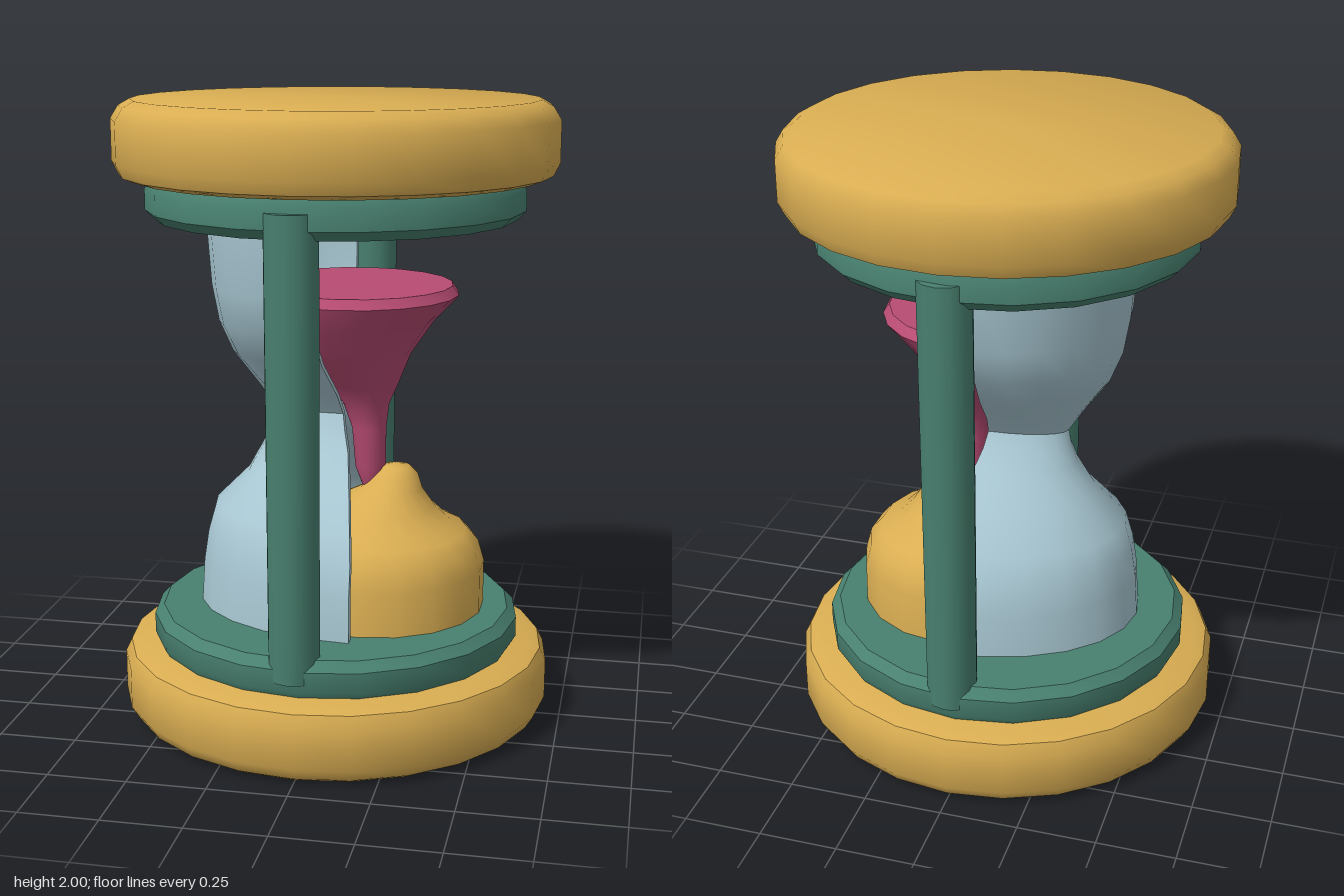
import * as THREE from 'three';
import { toCreasedNormals } from 'three/addons/utils/BufferGeometryUtils.js';

const mat = (name, color, side = THREE.FrontSide) =>
  Object.assign(new THREE.MeshStandardMaterial({ color, side }), { name });

// Skin a stack of closed cross-sections: sections[i] = { y, pts: [[x, z], ...] }
function loft(sections) {
  const n = sections[0].pts.length, pos = [], idx = [];
  for (const s of sections) for (const [x, z] of s.pts) pos.push(x, s.y, z);
  for (let i = 0; i < sections.length - 1; i++) {
    for (let j = 0; j < n; j++) {
      const a = i * n + j, b = i * n + (j + 1) % n;
      idx.push(a, b, a + n, b, b + n, a + n);
    }
  }
  const g = new THREE.BufferGeometry();
  g.setAttribute('position', new THREE.Float32BufferAttribute(pos, 3));
  g.setIndex(idx);
  return toCreasedNormals(g, 0.7);
}

// Points of an elliptical arc, running from +z towards +x
function arc(cx, rx, rz, t0, t1, n, closed) {
  return Array.from({ length: n }, (_, i) => {
    const t = t0 + (t1 - t0) * i / (closed ? n : n - 1);
    return [cx + rx * Math.sin(t), rz * Math.cos(t)];
  });
}

// Round body whose centre may drift in x: rows of [y, centreX, radius]
const drifting = (rows, n) => loft(rows.map(([y, cx, r]) =>
  ({ y, pts: arc(cx, r, r, 0, Math.PI * 2, n, true) })));

export function createModel() {
  const model = new THREE.Group();
  model.name = 'hourglass';
  const gold = mat('gold', 0xd9ad52);
  const green = mat('green', 0x48806f);
  const pink = mat('pink', 0xb84c73);
  const glass = mat('paleBlueGlass', 0xa9c8d3, THREE.DoubleSide);
  const add = (name, geometry, material) => {
    const m = new THREE.Mesh(geometry, material);
    m.name = name;
    model.add(m);
    return m;
  };

  // End discs with rounded rims, and the stepped rings inside them
  const disc = [[0, 0, 0], [0, 0, 0.64], [0.02, 0, 0.675], [0.06, 0, 0.7], [0.19, 0, 0.7],
    [0.23, 0, 0.68], [0.245, 0, 0.64], [0.245, 0, 0]];
  const ring = [[0, 0, 0], [0, 0, 0.585], [0.025, 0, 0.6], [0.09, 0, 0.6], [0.12, 0, 0.57], [0.12, 0, 0]];
  const flip = (rows, top) => rows.map(([y, c, r]) => [top - y, c, r]).reverse();
  add('bottomDisc', drifting(disc, 24), gold);
  add('topDisc', drifting(flip(disc, 2), 24), gold);
  const raise = (rows, h) => rows.map(([y, c, r]) => [y + h, c, r]);
  add('bottomRing', drifting(raise(ring, 0.24), 20), green);
  add('topRing', drifting(flip(ring, 1.75), 20), green);

  // Front and back posts
  for (const s of [1, -1]) {
    const post = add(s > 0 ? 'frontPost' : 'backPost',
      toCreasedNormals(new THREE.CylinderGeometry(0.083, 0.08, 1.42, 12), 0.7), green);
    post.position.set(-0.025 * s, 1, 0.537 * s);
    post.rotation.x = 0.007 * s;
  }

  // Glass: an open half shell, rows of [y, edgeX, farX, halfWidthZ]
  const glassRows = [
    [0.35, 0.12, -0.45, 0.41], [0.5, 0.12, -0.44, 0.41], [0.6, 0.12, -0.425, 0.39],
    [0.69, 0.11, -0.40, 0.345], [0.8, 0.09, -0.29, 0.25], [0.9, 0.07, -0.235, 0.16],
    [0.96, 0.05, -0.215, 0.11], [1.01, 0.04, -0.205, 0.085], [1.08, 0.03, -0.25, 0.135],
    [1.2, 0.01, -0.335, 0.27], [1.3, 0, -0.375, 0.35], [1.42, 0, -0.395, 0.395], [1.63, 0, -0.41, 0.41]];
  const wall = 0.03;
  add('glassBulbs', loft(glassRows.map(([y, cx, far, rz]) => ({
    y,
    pts: [
      ...arc(cx, cx - far, rz, Math.PI, Math.PI * 2, 13),
      ...arc(cx, cx - far - wall, rz - wall, Math.PI * 2, Math.PI, 13),
    ],
  }))), glass);

  // Upper sand funnel with its falling stream
  add('upperSand', drifting([
    [0.7, 0.125, 0], [0.74, 0.12, 0.025], [0.82, 0.115, 0.05], [0.95, 0.11, 0.056], [1.03, 0.1, 0.075],
    [1.1, 0.085, 0.12], [1.2, 0.045, 0.2], [1.31, 0.025, 0.295], [1.39, 0.06, 0.335],
    [1.42, 0.06, 0.315], [1.425, 0.06, 0]], 20), pink);

  // Thin half lining under the top ring
  const lining = add('upperLining',
    new THREE.CylinderGeometry(0.41, 0.41, 0.008, 20, 1, false, 0, Math.PI), pink);
  lining.position.y = 1.626;

  // Lower sand heap with a rounded peak
  add('lowerSand', drifting([
    [0.35, 0.135, 0.355], [0.5, 0.14, 0.35], [0.57, 0.14, 0.33], [0.615, 0.135, 0.295],
    [0.64, 0.12, 0.255], [0.69, 0.145, 0.18], [0.75, 0.185, 0.1], [0.8, 0.2, 0.07],
    [0.825, 0.2, 0.045], [0.83, 0.2, 0]], 18), gold);

  return model;
}
